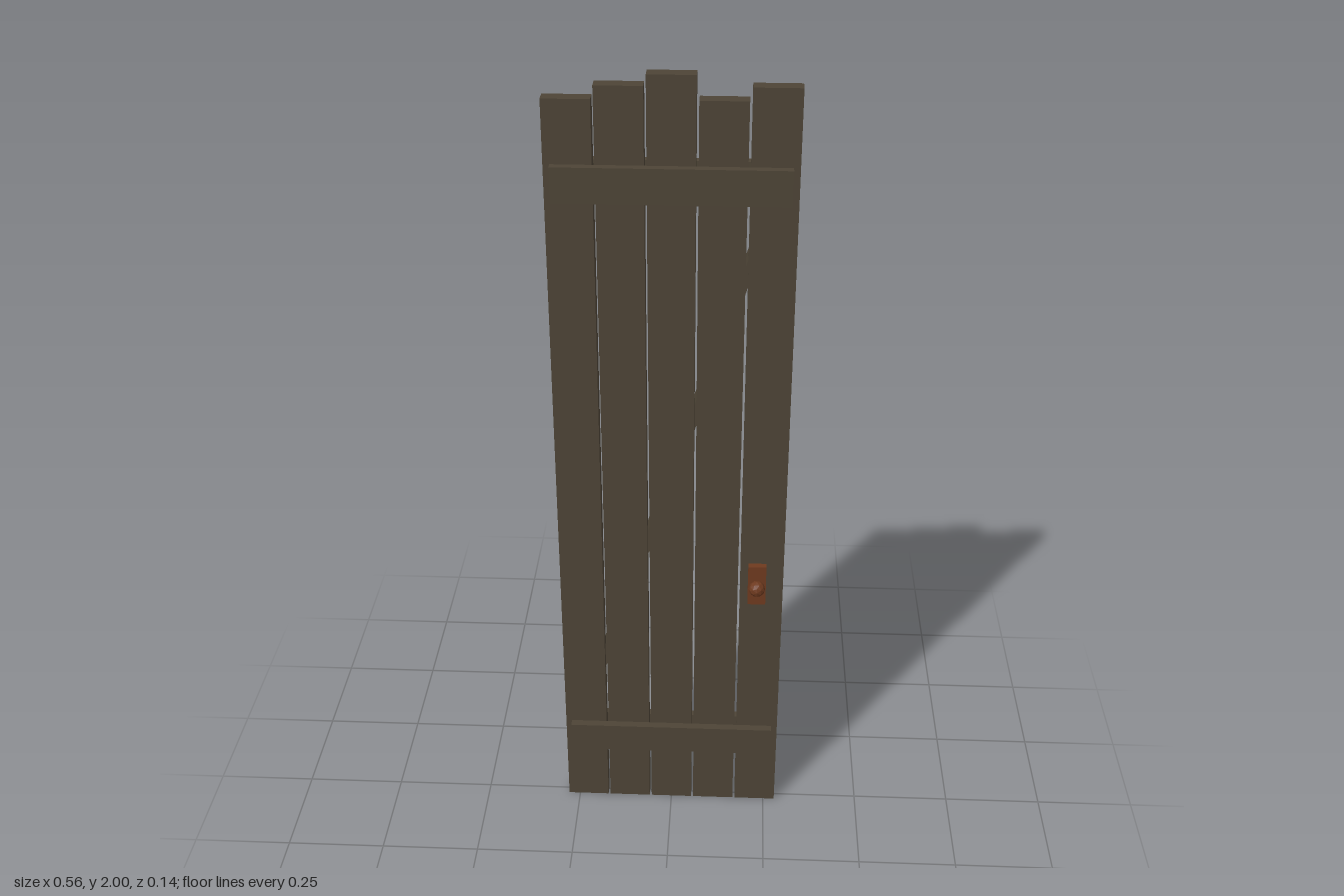
import * as THREE from 'three';

export function createModel() {
  const door = new THREE.Group();
  door.name = 'plankDoor';

  const wood = new THREE.MeshStandardMaterial({ color: 0x4d4436 });
  wood.name = 'dark wood';
  const copper = new THREE.MeshStandardMaterial({ color: 0x6e3a1f, flatShading: true });
  copper.name = 'rusty copper';

  // Box given by its lower and upper bounds on each axis
  const box = (name, material, [x0, x1], [y0, y1], [z0, z1], parent = door) => {
    const mesh = new THREE.Mesh(new THREE.BoxGeometry(x1 - x0, y1 - y0, z1 - z0), material);
    mesh.position.set((x0 + x1) / 2, (y0 + y1) / 2, (z0 + z1) / 2);
    mesh.name = name;
    parent.add(mesh);
    return mesh;
  };

  // Five upright planks with uneven tops and narrow gaps
  const pitch = 0.1131, halfWidth = 0.0538;
  [1.945, 1.975, 2, 1.945, 1.975].forEach((top, i) => {
    const x = (i - 2) * pitch;
    box(`plank${i + 1}`, wood, [x - halfWidth, x + halfWidth], [0, top], [-0.015, 0.02]);
  });

  // Cross rails on both faces
  for (const [label, y] of [['lower', [0.175, 0.255]], ['upper', [1.717, 1.8]]]) {
    box(`${label}FrontRail`, wood, [-0.265, 0.265], y, [0.02, 0.04]);
    box(`${label}BackRail`, wood, [-0.265, 0.265], y, [-0.035, -0.015]);
  }

  // Diagonal brace across the back, sunk into the planks
  const brace = box('diagonalBrace', wood, [-0.0185, 0.0025], [0.192, 1.754], [-0.072, -0.002]);
  brace.rotation.z = -THREE.MathUtils.degToRad(17.6);

  // Handle plate through the door with a faceted knob on each side
  const handle = new THREE.Group();
  handle.name = 'handle';
  door.add(handle);
  box('handlePlate', copper, [0.192, 0.237], [0.66, 0.772], [-0.028, 0.037], handle);
  for (const [name, z] of [['frontKnob', 0.049], ['backKnob', -0.041]]) {
    const knob = new THREE.Mesh(new THREE.IcosahedronGeometry(0.0205, 1), copper);
    knob.position.set(0.2145, 0.716, z);
    knob.name = name;
    handle.add(knob);
  }

  return door;
}
